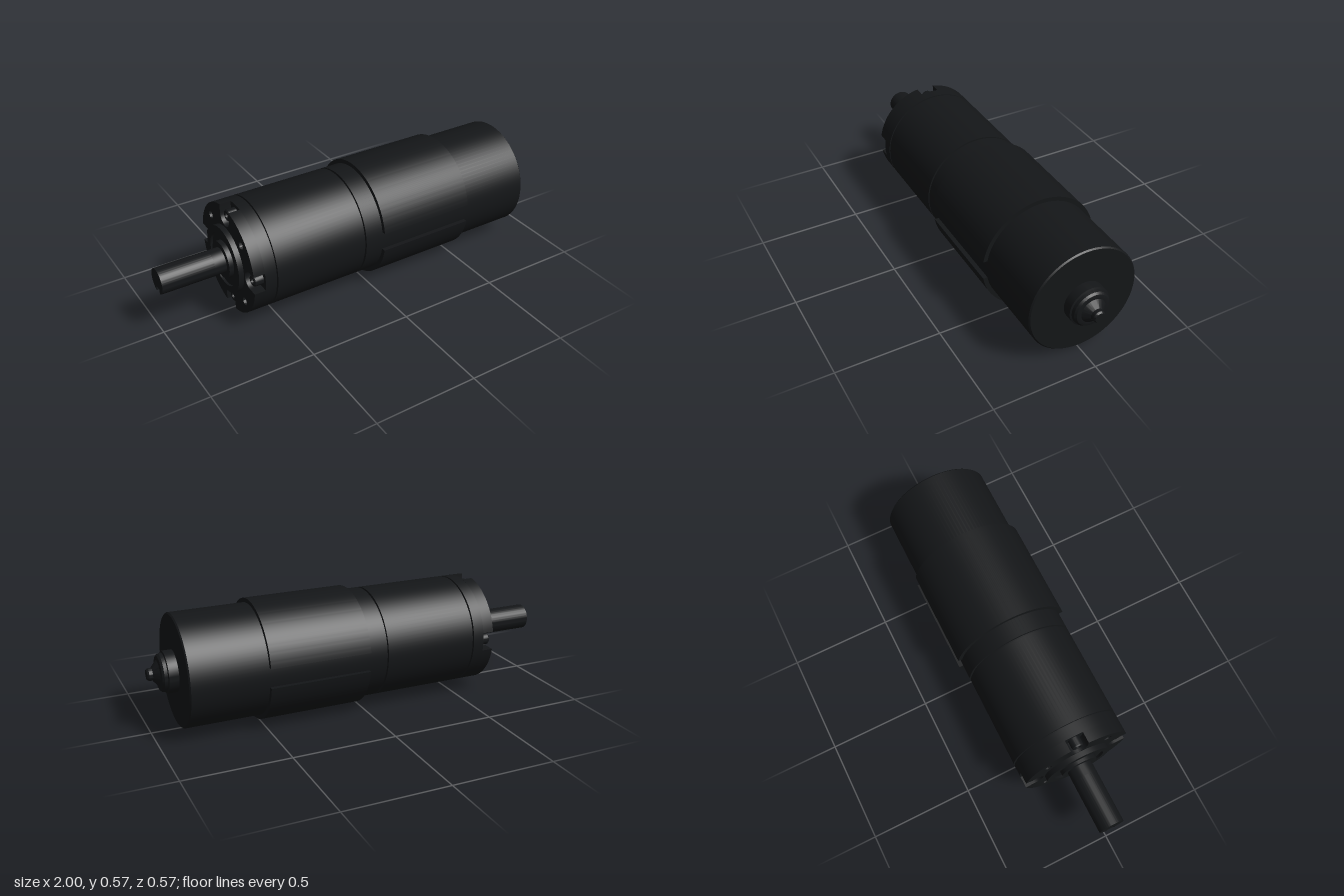
import * as THREE from 'three';
import { toCreasedNormals } from 'three/addons/utils/BufferGeometryUtils.js';

const AXIS_Y = 0.2865, BODY_R = 0.266, SLEEVE_R = 0.2865;
const black = new THREE.MeshStandardMaterial({ color: 0x141618 });

export function createModel() {
  const group = new THREE.Group();

  const add = (name, geometry) => {
    const mesh = new THREE.Mesh(toCreasedNormals(geometry, 0.5), black);
    mesh.name = name;
    mesh.position.y = AXIS_Y;
    group.add(mesh);
    return mesh;
  };
  // Turned part about the x axis, profile given as [x, radius]
  const turn = (name, profile, sides = 96) => add(name, new THREE.LatheGeometry(
    profile.map(([x, r]) => new THREE.Vector2(r, x)), sides).rotateZ(-Math.PI / 2));
  // Cross-section (drawn with y up) pushed along the x axis
  const push = (name, shape, x0, x1) => add(name, new THREE.ExtrudeGeometry(shape,
    { depth: x1 - x0, bevelEnabled: false, curveSegments: 48 }).rotateY(Math.PI / 2).translate(x0, 0, 0));

  // Gearbox housing and motor can, parted by narrow grooves
  const R = BODY_R, G = BODY_R - 0.012;
  turn('gearboxHousing', [[-0.6, 0], [-0.6, R], [-0.546, R], [-0.546, G], [-0.538, G],
    [-0.538, R], [-0.08, R], [-0.08, G], [-0.07, G]]);
  turn('motorCan', [[-0.07, G], [-0.07, R], [0.869, R], [0.875, R - 0.006], [0.875, 0]]);

  // Front flange with four screw pockets open to the rim and four small holes
  const w = 0.045, pocketR = 0.217, delta = Math.asin(w / R);
  const outline = [];
  for (let k = 0; k < 4; k++) {
    const a = k * Math.PI / 2, c = Math.cos(a), s = Math.sin(a);
    for (let i = 0; i <= 12; i++) {
      const t = -Math.PI / 2 - Math.PI * i / 12;
      const u = pocketR + w * Math.cos(t), v = w * Math.sin(t);
      if (i === 0) outline.push(new THREE.Vector2(R * Math.cos(a - delta), R * Math.sin(a - delta)));
      outline.push(new THREE.Vector2(u * c - v * s, u * s + v * c));
    }
    for (let i = 0; i < 20; i++) {
      const t = a + delta + (Math.PI / 2 - 2 * delta) * i / 20;
      outline.push(new THREE.Vector2(R * Math.cos(t), R * Math.sin(t)));
    }
  }
  const flange = new THREE.Shape(outline);
  for (let k = 0; k < 4; k++) {
    const a = (k + 0.5) * Math.PI / 2;
    flange.holes.push(new THREE.Path().absarc(0.215 * Math.cos(a), 0.215 * Math.sin(a), 0.02, 0, Math.PI * 2, true));
  }
  push('frontFlange', flange, -0.655, -0.6);

  // Screw heads sunk in the pockets
  for (let k = 0; k < 4; k++) {
    const a = k * Math.PI / 2;
    const screw = turn('flangeScrew', [[-0.635, 0], [-0.635, 0.014], [-0.645, 0.014],
      [-0.645, 0.024], [-0.64, 0.028], [-0.6, 0.028]], 24);
    screw.position.set(0, AXIS_Y + 0.222 * Math.sin(a), 0.222 * Math.cos(a));
  }

  // Centring boss and bearing collar
  turn('frontBoss', [[-0.668, 0], [-0.668, 0.13], [-0.68, 0.13], [-0.68, 0.163], [-0.655, 0.163]]);
  turn('bearingCollar', [[-0.69, 0], [-0.69, 0.09], [-0.668, 0.09]], 64);

  // Output shaft: plain root, then a length with a keyway underneath
  const sr = 0.0615, kw = 0.018, start = -Math.PI / 2 + Math.asin(kw / sr);
  const keyed = new THREE.Shape();
  keyed.absarc(0, 0, sr, start, 3 * Math.PI / 2 - Math.asin(kw / sr), false);
  keyed.lineTo(-kw, -0.034);
  keyed.lineTo(kw, -0.034);
  keyed.closePath();
  push('keyedShaft', keyed, -1, -0.745);
  turn('shaftRoot', [[-0.745, 0], [-0.745, sr], [-0.68, sr]], 48);

  // Split sleeve: upper and lower shells with a gap along each side
  const gap = 0.0465;
  for (const [name, turnBy] of [['upperSleeve', 0], ['lowerSleeve', Math.PI]]) {
    const o = Math.asin(gap / SLEEVE_R), i = Math.asin(gap / (R - 0.004));
    const shell = new THREE.Shape();
    shell.absarc(0, 0, SLEEVE_R, turnBy + o, turnBy + Math.PI - o, false);
    shell.absarc(0, 0, R - 0.004, turnBy + Math.PI - i, turnBy + i, true);
    shell.closePath();
    push(name, shell, 0.02, 0.51);
  }

  // Rear bearing housing and shaft tip
  turn('rearBearing', [[0.87, 0.098], [0.92, 0.098], [0.923, 0.09], [0.938, 0.088],
    [0.947, 0.08], [0.95, 0.07], [0.95, 0.06], [0.976, 0.03]], 64);
  turn('rearShaftTip', [[0.97, 0.029], [0.992, 0.029], [1, 0.023], [1, 0]], 32);

  return group;
}
